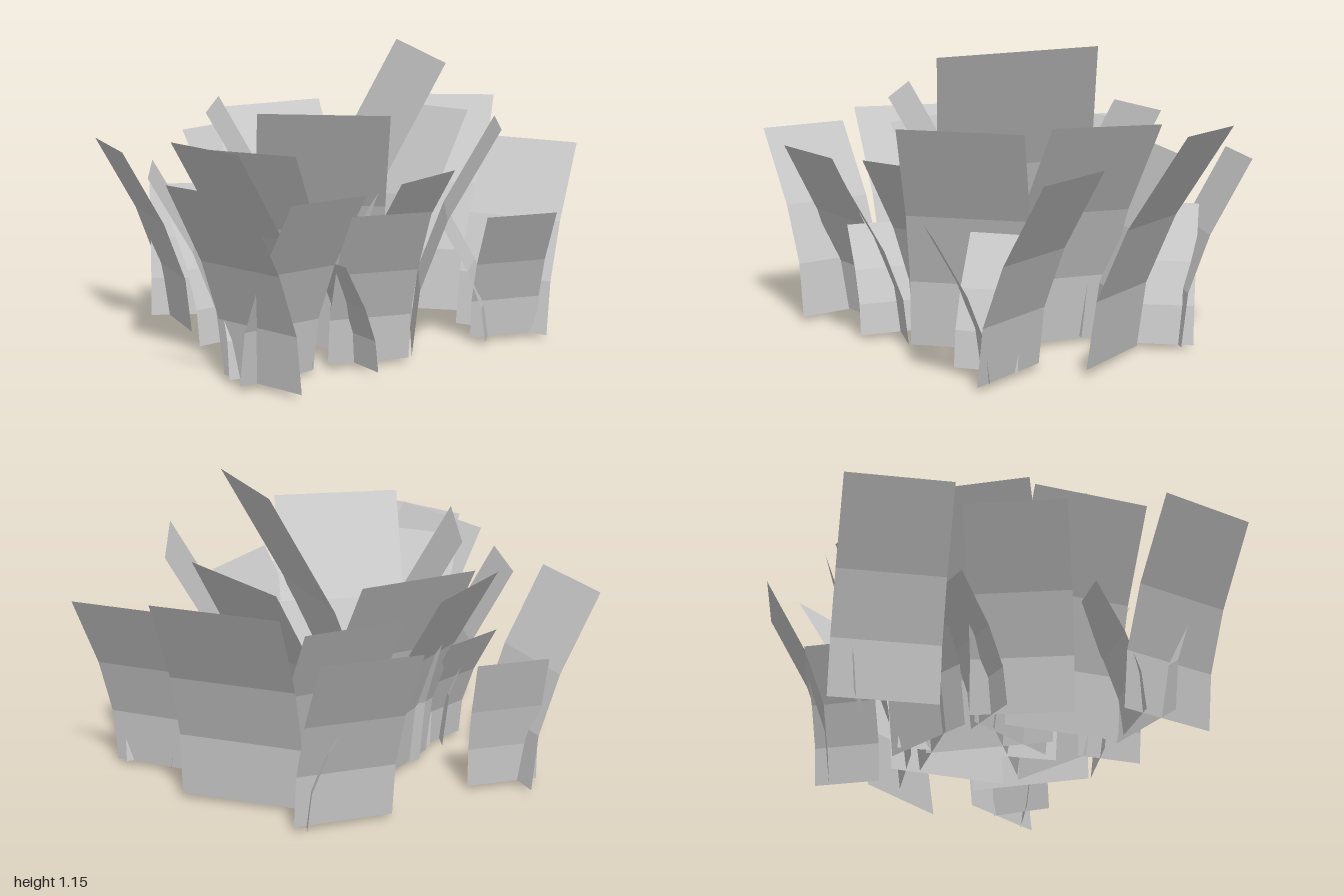
import * as THREE from 'three';

// Each blade: top edge x1, z1, x2, z2, its height at both ends, and optionally its lean ratio.
// A blade leans to the left-hand side of its top edge as seen from above.
const outerBlades = [
  [-0.30, -0.87, 0.055, -1.0, 0.725, 0.73, 0.36],
  [0.19, -0.94, 0.64, -0.82, 0.87, 0.885, 0.41],
  [0.61, -0.53, 0.968, -0.38, 0.755, 0.75],
  [0.875, 0.02, 0.61, 0.12, 0.54, 0.535, 0.36],
  [-0.21, 0.995, -0.515, 0.75, 0.757, 0.757, 0.36],
  [0.175, 0.59, -0.065, 0.86, 0.70, 0.71, 0.36],
  [-0.795, 0.05, -0.97, -0.305, 0.757, 0.76, 0.36],
  [-0.775, -0.44, -0.51, -0.505, 0.55, 0.545, 0.22],
  [-0.635, 0.415, -0.68, 0.04, 0.72, 0.73],
  [0.405, 0.46, 0.11, 0.585, 0.62, 0.62, 0.36],
  [0.485, 0.115, 0.295, 0.435, 0.715, 0.715],
  [-0.24, -0.575, 0.11, -0.74, 0.745, 0.745],
];
const innerBlades = [
  [0.635, -0.25, 0.655, 0.21, 0.875, 0.885],
  [0.24, -0.445, 0.445, 0.11, 1.155, 1.12, 0.35],
  [-0.445, 0.225, -0.46, -0.26, 0.94, 0.94],
  [0.25, 0.345, -0.235, 0.39, 0.95, 0.96],
  [0.21, -0.68, 0.53, -0.33, 0.87, 0.885],
  [-0.50, -0.40, -0.09, -0.64, 0.875, 0.885],
  [-0.60, -0.21, -0.37, -0.565, 0.81, 0.81],
  [-0.275, 0.63, -0.57, 0.28, 0.845, 0.835],
  [-0.09, 0.43, -0.48, 0.27, 0.81, 0.81],
];
const smallBlades = [
  [0.43, -0.01, 0.46, -0.25, 0.485, 0.485],
  [-0.08, -0.53, -0.09, -0.79, 0.53, 0.53],
  [-0.405, 0.46, -0.175, 0.325, 0.50, 0.50, 0.35],
  [0.10, 0.555, -0.05, 0.35, 0.43, 0.43, 0.33],
  [-0.62, 0.02, -0.43, -0.17, 0.50, 0.50],
];

const BASE = 0.02;
// Bend profile from tip to root: share of height, share of lean
const BEND = [[1, 1], [0.6, 0.4], [0.29, 0.09], [0, 0]];

function bladeGeometry([x1, z1, x2, z2, y1, y2, ratio = 0.37]) {
  const width = Math.hypot(x2 - x1, z2 - z1);
  const ex = (x2 - x1) / width, ez = (z2 - z1) / width;
  const middle = (y1 + y2) / 2;
  const height = middle - BASE;
  const lean = ratio * middle;
  // a blade with a sloping tip is rolled as a whole, so its root shifts along the edge
  const roll = height * (y1 - y2) / width;
  const geo = new THREE.PlaneGeometry(1, 1, 1, BEND.length - 1);
  const pos = geo.attributes.position;
  for (let i = 0; i < pos.count; i++) {
    const [h, l] = BEND[Math.floor(i / 2)];
    const [x, z, y] = i % 2 ? [x2, z2, y2] : [x1, z1, y1];
    const back = lean * (1 - l), along = roll * (1 - h);
    pos.setXYZ(i, x - ez * back - ex * along, y - height * (1 - h), z + ex * back - ez * along);
  }
  geo.computeVertexNormals();
  return geo;
}

export function createModel() {
  const model = new THREE.Group();
  model.name = 'grassClump';
  const material = new THREE.MeshStandardMaterial({
    color: 0xcccccc, side: THREE.DoubleSide, flatShading: true,
  });
  const rings = { outerBlade: outerBlades, innerBlade: innerBlades, smallBlade: smallBlades };
  for (const [name, blades] of Object.entries(rings)) {
    const ring = new THREE.Group();
    ring.name = name + 's';
    blades.forEach((blade, i) => {
      const mesh = new THREE.Mesh(bladeGeometry(blade), material);
      mesh.name = name + (i + 1);
      ring.add(mesh);
    });
    model.add(ring);
  }
  return model;
}
